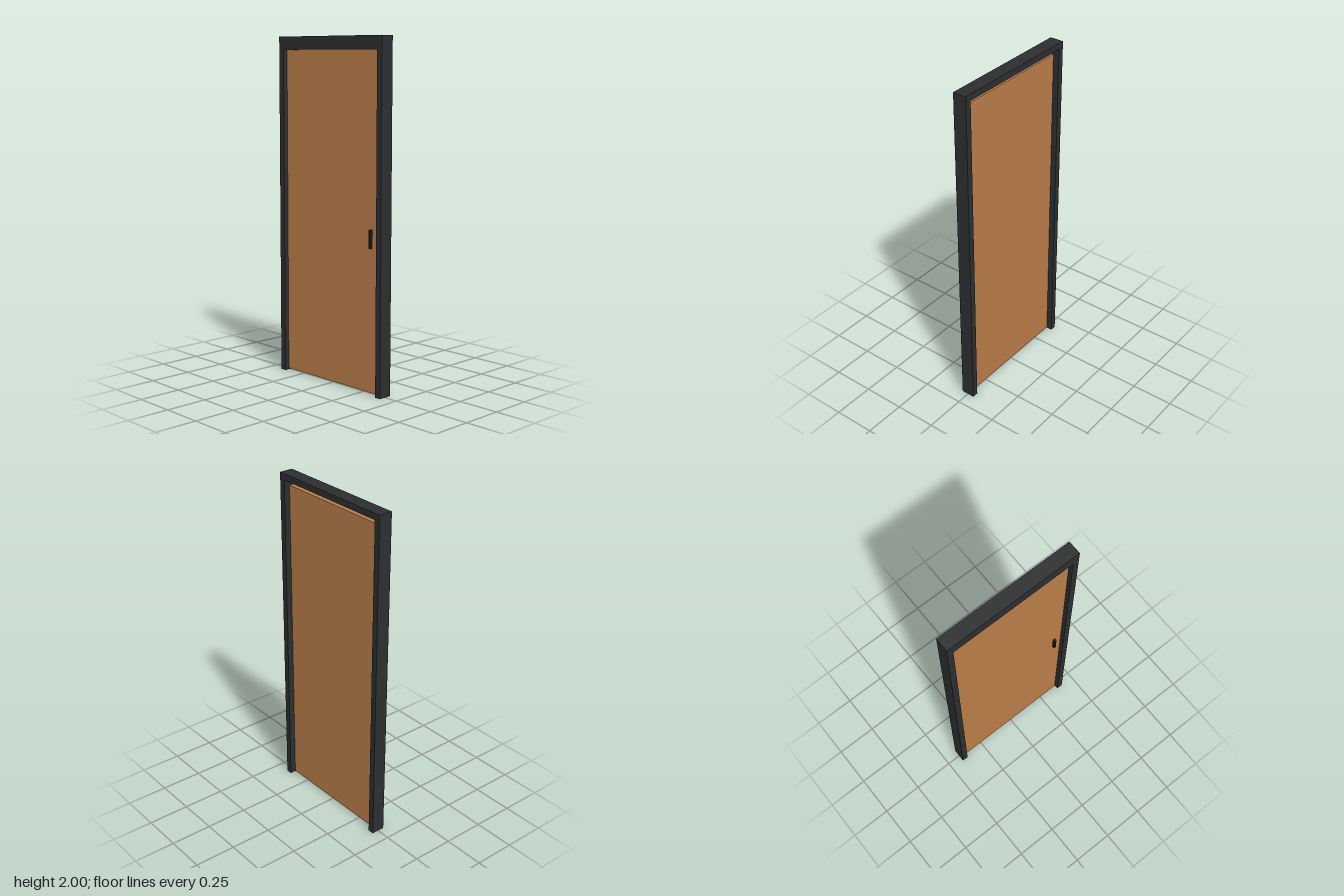
import * as THREE from 'three';

export function createModel() {
  const frameMat = new THREE.MeshStandardMaterial({ color: 0x2c2e2f });
  frameMat.name = 'charcoal frame';
  const woodMat = new THREE.MeshStandardMaterial({ color: 0xba7d49 });
  woodMat.name = 'warm wood';
  const handleMat = new THREE.MeshStandardMaterial({ color: 0x1b1c1d });
  handleMat.name = 'black handle';

  const model = new THREE.Group();
  model.name = 'door';

  // Box given by its minimum and maximum corners
  function box(name, material, [x0, y0, z0], [x1, y1, z1]) {
    const mesh = new THREE.Mesh(new THREE.BoxGeometry(x1 - x0, y1 - y0, z1 - z0), material);
    mesh.position.set((x0 + x1) / 2, (y0 + y1) / 2, (z0 + z1) / 2);
    mesh.name = name;
    model.add(mesh);
  }

  const halfWidth = 0.415, halfDepth = 0.041, inner = 0.378, headerBottom = 1.963;
  const doorFront = 0.018, doorBack = -0.009;

  // Frame: two jambs and a header between them
  box('rightJamb', frameMat, [-halfWidth, 0, -halfDepth], [-inner, 2, halfDepth]);
  box('leftJamb', frameMat, [inner, 0, -halfDepth], [halfWidth, 2, halfDepth]);
  box('header', frameMat, [-inner, headerBottom, -halfDepth], [inner, 2, halfDepth]);

  // Front fascia hanging below the header, hiding the top gap of the door
  box('headerFascia', frameMat, [-inner, 1.924, doorFront], [inner, headerBottom, halfDepth]);

  // Door panel with a small gap at the sides and floor
  box('doorPanel', woodMat, [-0.373, 0.01, doorBack], [0.373, 1.928, doorFront]);

  // Slim vertical pull on the front
  box('handle', handleMat, [0.313, 0.835, doorFront], [0.327, 0.94, doorFront + 0.016]);

  return model;
}
